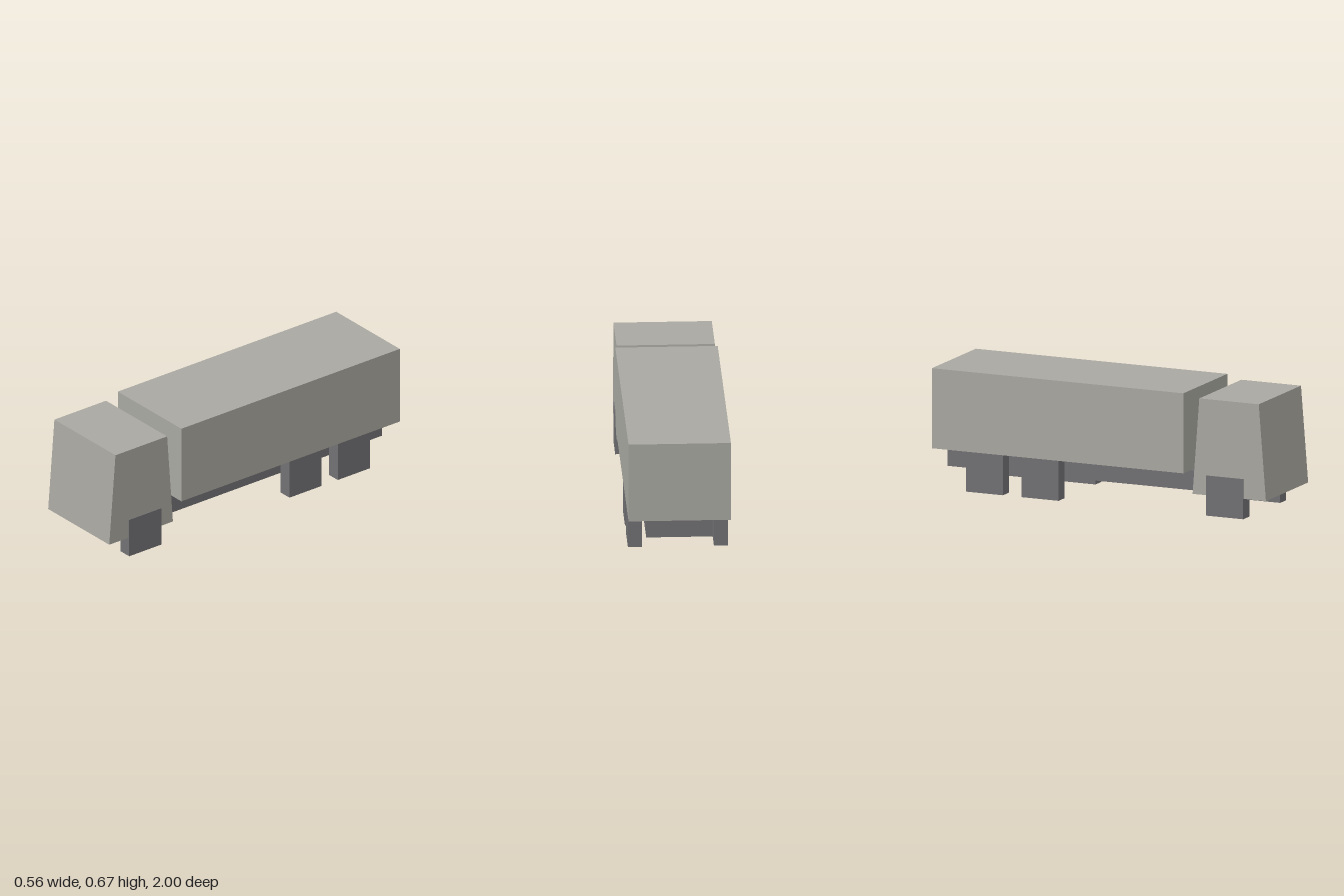
import * as THREE from 'three';

export function createModel() {
  const truck = new THREE.Group();
  truck.name = 'truck';

  const bodyGrey = new THREE.MeshStandardMaterial({ color: 0xa9a8a1, flatShading: true });
  bodyGrey.name = 'bodyGrey';
  const darkGrey = new THREE.MeshStandardMaterial({ color: 0x717174, flatShading: true });
  darkGrey.name = 'darkGrey';

  const add = (name, geometry, material) => {
    const mesh = new THREE.Mesh(geometry, material);
    mesh.name = name;
    truck.add(mesh);
  };

  // Box given by its lower and upper limits on each axis
  const box = (x0, x1, y0, y1, z0, z1) =>
    new THREE.BoxGeometry(x1 - x0, y1 - y0, z1 - z0)
      .translate((x0 + x1) / 2, (y0 + y1) / 2, (z0 + z1) / 2);

  // Cargo box and the chassis that runs under it and the cab
  add('cargoBox', box(-0.278, 0.278, 0.223, 0.667, -1, 0.51), bodyGrey);
  add('chassis', box(-0.18, 0.18, 0.111, 0.222, -0.953, 0.953), darkGrey);

  // Cab: side profile (z, y) tapering towards the roof, extruded across x
  const profile = new THREE.Shape([
    new THREE.Vector2(-1, 0.112),
    new THREE.Vector2(-0.56, 0.112),
    new THREE.Vector2(-0.6, 0.645),
    new THREE.Vector2(-0.957, 0.645),
  ]);
  const cab = new THREE.ExtrudeGeometry(profile, { depth: 0.534, bevelEnabled: false });
  cab.translate(0, 0, -0.267).rotateY(Math.PI / 2);
  add('cab', cab, bodyGrey);

  // Three axles of block wheels
  const axles = { front: 0.755, middle: -0.353, rear: -0.687 };
  for (const [name, z] of Object.entries(axles)) {
    add(`${name}LeftWheel`, box(0.195, 0.272, 0, 0.222, z - 0.111, z + 0.111), darkGrey);
    add(`${name}RightWheel`, box(-0.272, -0.195, 0, 0.222, z - 0.111, z + 0.111), darkGrey);
  }

  return truck;
}
